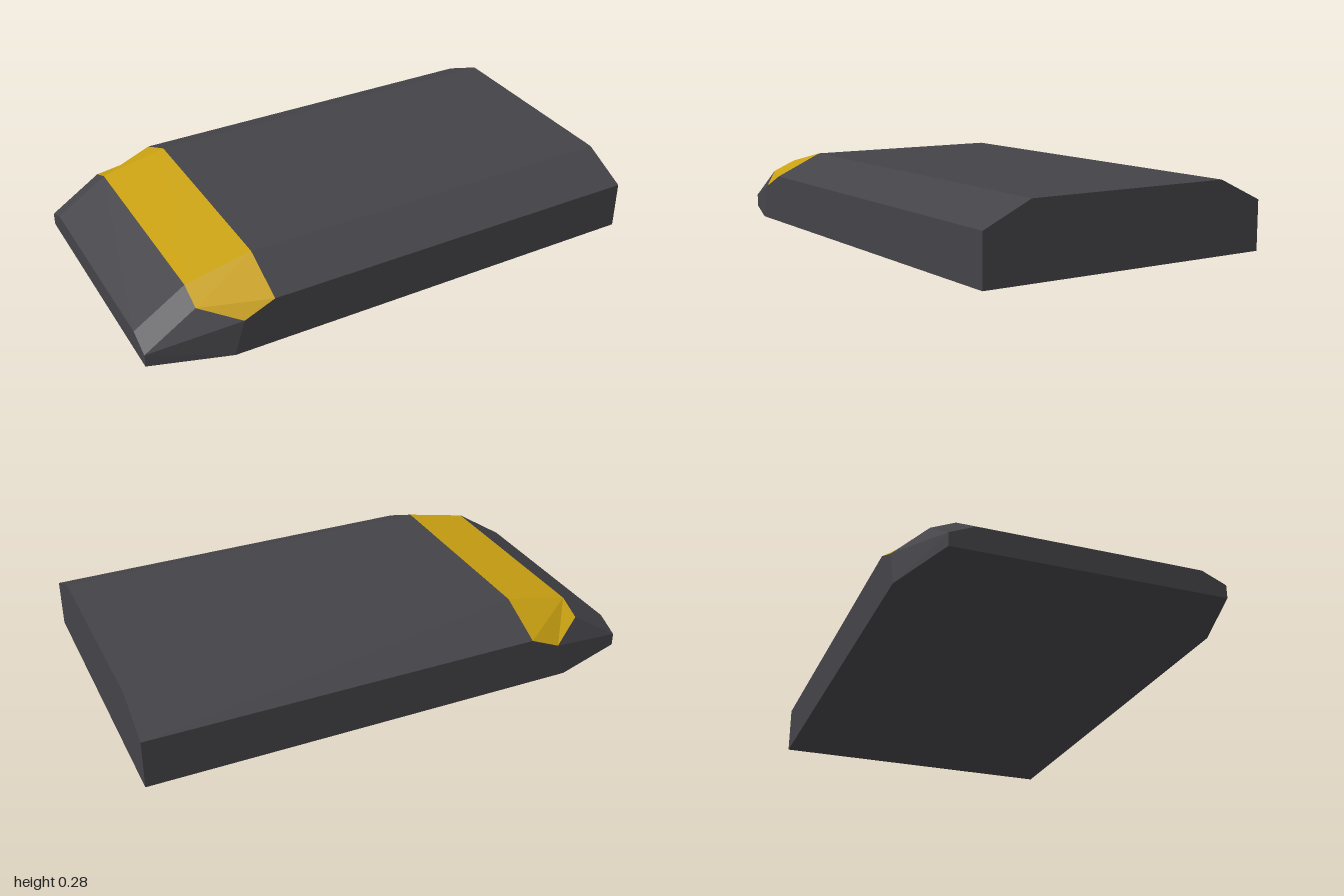
import * as THREE from 'three';

const CENTRE = new THREE.Vector3(0, 0.1, 0);
const mirror = ([x, y, z]) => [x, y, -z];

// Corner points of the +z half
const rearBase = [1, 0, 0.6], rearShoulder = [1, 0.19, 0.6], rearTop = [1, 0.276, 0.413];
const midShoulder = [-0.54, 0.19, 0.6], midTop = [-0.54, 0.276, 0.413];
const cheek = [-0.66, 0.137, 0.6], cheekBase = [-0.7, 0, 0.6];
const browSide = [-0.8, 0.18, 0.505], browTop = [-0.8, 0.22, 0.413];
const tipBase = [-1, 0, 0.505], tipSide = [-1, 0.05, 0.505], tipTop = [-1, 0.09, 0.413];

// Face running across the body between an edge and its mirror image
const across = (a, b) => [a, b, mirror(b), mirror(a)];
// Side face on both halves
const bothSides = (...face) => [face, face.map(mirror)];

// Fan-triangulated flat faces, each turned away from the convex body's centre
function facetMesh(name, material, faces) {
  const positions = [];
  for (const face of faces) {
    const pts = face.map((p) => new THREE.Vector3(...p));
    const normal = new THREE.Triangle(pts[0], pts[1], pts[2]).getNormal(new THREE.Vector3());
    if (normal.dot(pts[0].clone().sub(CENTRE)) < 0) pts.reverse();
    for (let i = 1; i < pts.length - 1; i++) {
      for (const p of [pts[0], pts[i], pts[i + 1]]) positions.push(p.x, p.y, p.z);
    }
  }
  const geometry = new THREE.BufferGeometry();
  geometry.setAttribute('position', new THREE.Float32BufferAttribute(positions, 3));
  geometry.computeVertexNormals();
  const mesh = new THREE.Mesh(geometry, material);
  mesh.name = name;
  return mesh;
}

export function createModel() {
  const charcoal = new THREE.MeshStandardMaterial({ color: 0x444348 });
  charcoal.name = 'charcoal';
  const yellow = new THREE.MeshStandardMaterial({ color: 0xc9a012 });
  yellow.name = 'yellow';

  const group = new THREE.Group();
  group.name = 'bevelledSlab';
  group.add(
    // Long body with bevelled shoulders and a flat rear end
    facetMesh('body', charcoal, [
      across(midTop, rearTop),
      ...bothSides(midTop, rearTop, rearShoulder, midShoulder),
      ...bothSides(rearBase, rearShoulder, midShoulder, cheek, cheekBase),
      [rearBase, rearShoulder, rearTop, mirror(rearTop), mirror(rearShoulder), mirror(rearBase)],
    ]),
    // Coloured band wrapping over the top and shoulders
    facetMesh('band', yellow, [
      across(browTop, midTop),
      ...bothSides(browTop, midTop, midShoulder, cheek, browSide),
    ]),
    // Sloping nose with cut corners
    facetMesh('nose', charcoal, [
      across(tipTop, browTop),
      ...bothSides(tipTop, browTop, browSide, tipSide),
      ...bothSides(tipSide, browSide, cheek),
      ...bothSides(tipSide, cheek, cheekBase),
      ...bothSides(tipSide, cheekBase, tipBase),
      [tipBase, tipSide, tipTop, mirror(tipTop), mirror(tipSide), mirror(tipBase)],
    ]),
    // Flat underside
    facetMesh('underside', charcoal, [
      [rearBase, cheekBase, tipBase, mirror(tipBase), mirror(cheekBase), mirror(rearBase)],
    ]),
  );
  return group;
}
